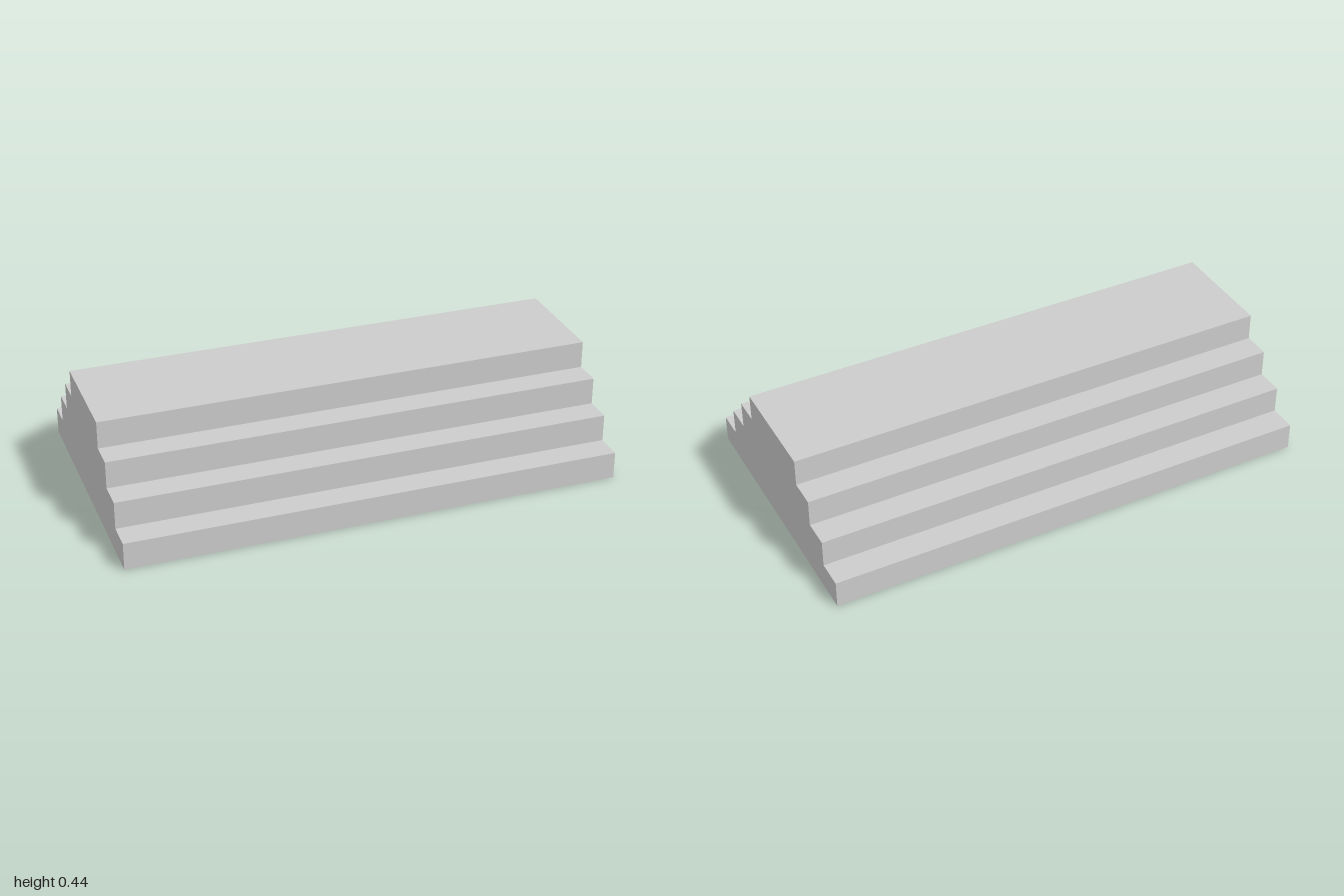
import * as THREE from 'three';
import { mergeGeometries } from 'three/addons/utils/BufferGeometryUtils.js';

const STEP = 1 / 9; // rise, tread and wall thickness

// Stepped outline in (z, y), from the front foot over the top to the back foot
function stepProfile(halfDepth, count) {
  const front = [];
  for (let i = 0; i < count; i++) {
    const z = halfDepth - i * STEP;
    front.push(new THREE.Vector2(z, i * STEP), new THREE.Vector2(z, (i + 1) * STEP));
  }
  const back = front.map(p => new THREE.Vector2(-p.x, p.y)).reverse();
  return [...front, ...back];
}

// Treads and risers along x; facing = 1 outward, -1 into the hollow
function stepSurface(profile, halfLength, facing) {
  const pos = [];
  const l = halfLength * facing;
  for (let i = 0; i < profile.length - 1; i++) {
    const p = profile[i], q = profile[i + 1];
    const a = [-l, p.y, p.x], b = [l, p.y, p.x], c = [l, q.y, q.x], d = [-l, q.y, q.x];
    pos.push(...a, ...b, ...c, ...a, ...c, ...d);
  }
  const geo = new THREE.BufferGeometry();
  geo.setAttribute('position', new THREE.Float32BufferAttribute(pos, 3));
  geo.computeVertexNormals();
  return geo;
}

// Both stepped end walls
function endWalls(profile, halfLength, facing) {
  return mergeGeometries([-1, 1].map(side =>
    new THREE.ShapeGeometry(new THREE.Shape(profile))
      .rotateY(side * facing * Math.PI / 2)
      .translate(side * halfLength, 0, 0)));
}

function rectangle(halfX, halfY) {
  return [[-1, -1], [1, -1], [1, 1], [-1, 1]].map(([x, y]) => new THREE.Vector2(x * halfX, y * halfY));
}

export function createModel() {
  const group = new THREE.Group();
  group.name = 'doubleSidedSteps';
  const material = new THREE.MeshStandardMaterial({ color: 0xcccccc, flatShading: true });
  const add = (name, geometry) => {
    const mesh = new THREE.Mesh(geometry, material);
    mesh.name = name;
    group.add(mesh);
  };

  // Outer shell with four steps, inner hollow with three
  const shells = [
    { name: 'outer', halfLength: 1, halfDepth: 5 * STEP, count: 4, facing: 1 },
    { name: 'inner', halfLength: 1 - STEP, halfDepth: 4 * STEP, count: 3, facing: -1 },
  ];
  for (const { name, halfLength, halfDepth, count, facing } of shells) {
    const profile = stepProfile(halfDepth, count);
    add(name + 'Steps', stepSurface(profile, halfLength, facing));
    add(name + 'EndWalls', endWalls(profile, halfLength, facing));
  }

  // Flat rim the steps stand on
  const rim = new THREE.Shape(rectangle(1, 5 * STEP));
  rim.holes.push(new THREE.Path(rectangle(1 - STEP, 4 * STEP)));
  add('bottomRim', new THREE.ShapeGeometry(rim).rotateX(Math.PI / 2));

  return group;
}
